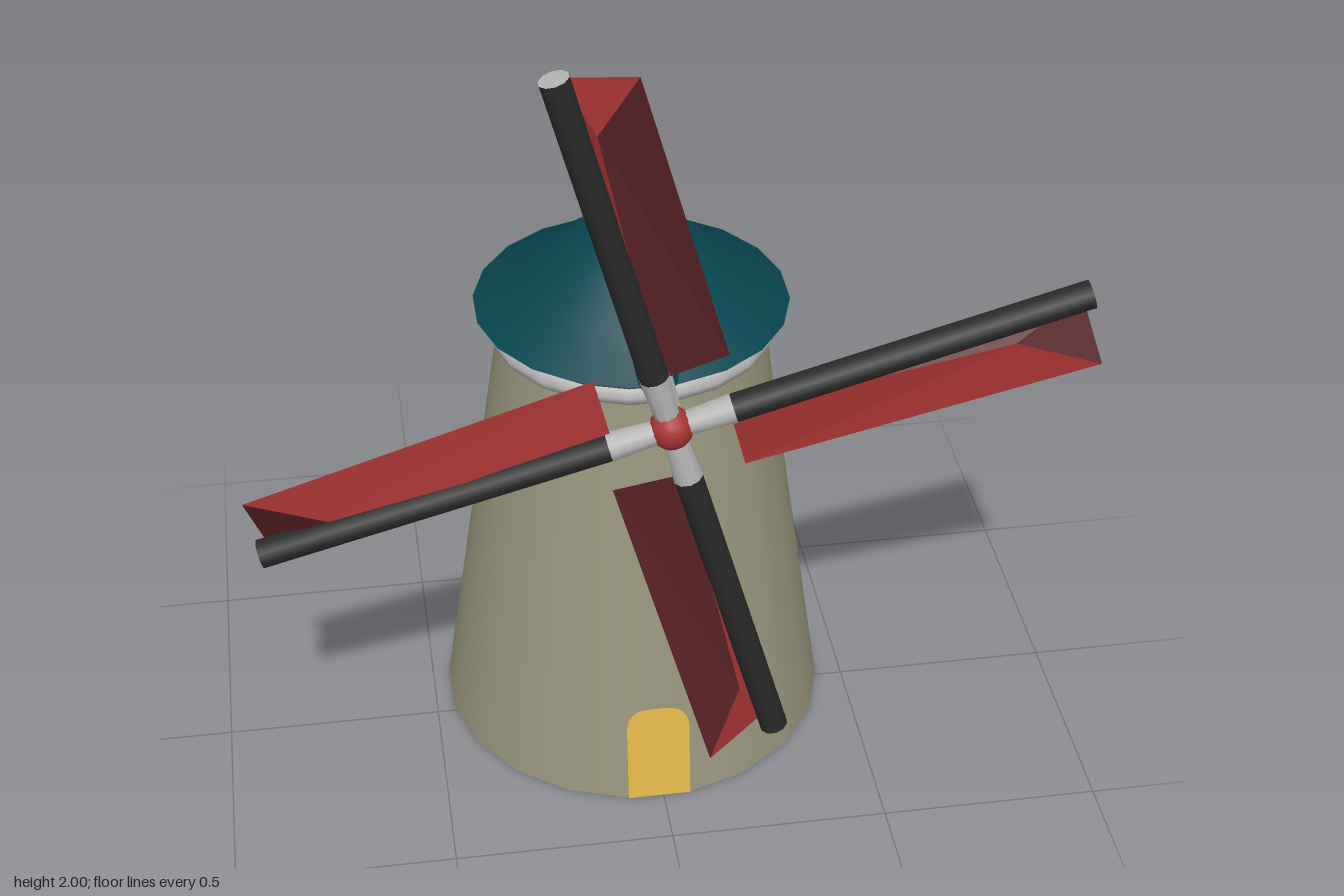
import * as THREE from 'three';

const mat = (name, color) => {
  const m = new THREE.MeshStandardMaterial({ color });
  m.name = name;
  return m;
};

export function createModel() {
  const stone = mat('stone', 0x98957c);
  const teal = mat('teal roof', 0x07454f);
  const white = mat('white paint', 0xb4b4b4);
  const grey = mat('grey cornice', 0x747474);
  const dark = mat('dark wood', 0x292929);
  const red = mat('red paint', 0xa83434);
  const darkRed = mat('dark red cloth', 0x562023);
  const yellow = mat('yellow door', 0xe2b64a);

  const model = new THREE.Group();
  model.name = 'windmill';
  const add = (parent, name, geometry, material, x = 0, y = 0, z = 0) => {
    const mesh = new THREE.Mesh(geometry, material);
    mesh.name = name;
    mesh.position.set(x, y, z);
    parent.add(mesh);
    return mesh;
  };

  // Tower body and cap share one vertical axis and 20 sides
  const building = new THREE.Group();
  building.name = 'building';
  building.position.set(-0.01, 0, -0.087);
  model.add(building);
  const SIDES = 20, HALF = Math.PI / SIDES;
  const lathe = (name, points, material) => add(building, name,
    new THREE.LatheGeometry(points.map(p => new THREE.Vector2(...p)), SIDES, HALF), material);

  const BOTTOM = 0.454, TOP = 0.302, HEIGHT = 1.045;
  add(building, 'tower', new THREE.CylinderGeometry(TOP, BOTTOM, HEIGHT, SIDES, 1, false, HALF),
    [stone, stone, white], 0, HEIGHT / 2, 0);
  lathe('trimRing', [[0.295, 1.032], [0.322, 1.036], [0.328, 1.055], [0.318, 1.072], [0.3, 1.076]], white);
  lathe('cornice', [[0.28, 1.07], [0.315, 1.073], [0.357, 1.106]], grey);
  lathe('cap', [[0.357, 1.106], [0.31, 1.135], [0.25, 1.174], [0.17, 1.238], [0.1, 1.281], [0.05, 1.298], [0, 1.305]], teal);

  // Door: thin arched plate leaning with the front wall
  const w = 0.073, h = 0.24, r = 0.055;
  const arch = new THREE.Shape();
  arch.moveTo(-w, 0);
  arch.lineTo(w, 0);
  arch.lineTo(w, h - r);
  arch.quadraticCurveTo(w, h, w - r, h);
  arch.lineTo(-w + r, h);
  arch.quadraticCurveTo(-w, h, -w, h - r);
  const door = add(building, 'door',
    new THREE.ExtrudeGeometry(arch, { depth: 0.005, bevelEnabled: false, curveSegments: 6 }),
    yellow, 0, 0, BOTTOM * Math.cos(HALF) - 0.002);
  door.rotation.x = -Math.atan((BOTTOM - TOP) * Math.cos(HALF) / HEIGHT);

  // Shaft housing and shaft, pointing forward
  const HUB = new THREE.Vector3(-0.007, 1.145, 0.474);
  const along = (name, radius, z0, z1, material, sides) => {
    const m = add(model, name, new THREE.CylinderGeometry(radius, radius, z1 - z0, sides), material,
      HUB.x, 1.148, (z0 + z1) / 2);
    m.rotation.x = Math.PI / 2;
  };
  along('shaftHousing', 0.044, 0, 0.3, teal, 14);
  along('shaft', 0.031, 0.28, 0.46, white, 12);

  // Rotor with four arms and twisted sails
  const rotor = new THREE.Group();
  rotor.name = 'rotor';
  rotor.position.copy(HUB);
  model.add(rotor);
  add(rotor, 'hub', new THREE.SphereGeometry(0.047, 14, 10), red);

  // One side of a sail: two outer facets, then two inner ones, meeting at a raised point
  const sailSide = (corners, peak, isBack) => {
    const facets = corners.flatMap((c, i) => {
      const next = corners[(i + 1) % 4];
      return isBack ? [...next, ...c, ...peak] : [...c, ...next, ...peak];
    });
    const geometry = new THREE.BufferGeometry();
    geometry.setAttribute('position', new THREE.Float32BufferAttribute(facets, 3));
    geometry.computeVertexNormals();
    geometry.addGroup(0, 6, 0);
    geometry.addGroup(6, 6, 1);
    return geometry;
  };

  // angle in degrees, arm length, forward twist of the sail tip, front colours (outer, inner)
  const arms = [
    [15.8, 0.907, 0.032, [red, darkRed]],
    [105.4, 0.863, 0.063, [darkRed, red]],
    [195.1, 0.893, 0.032, [red, darkRed]],
    [285.7, 0.885, 0.063, [darkRed, red]],
  ];
  for (const [angle, length, twist, frontColours] of arms) {
    const arm = new THREE.Group();
    arm.name = 'arm';
    arm.rotation.z = THREE.MathUtils.degToRad(angle);
    rotor.add(arm);

    const root = add(arm, 'armRoot', new THREE.CylinderGeometry(0.033, 0.025, 0.13, 10), white, 0.07, 0, 0);
    root.rotation.z = -Math.PI / 2;
    const rod = add(arm, 'armRod', new THREE.CylinderGeometry(0.032, 0.032, length - 0.13, 10),
      [dark, white, white], (length + 0.13) / 2, 0, 0);
    rod.rotation.z = -Math.PI / 2;

    const tip = length - 0.016;
    const corners = [[0.125, -0.012, 0], [0.122, -0.16, -0.015], [tip, -0.157, twist], [tip, -0.012, -0.028]];
    const peak = [0.73, -0.045, 0.024];
    add(arm, 'sailFront', sailSide(corners, peak, false), frontColours);
    add(arm, 'sailBack', sailSide(corners, peak, true), [red, darkRed], 0, 0, -0.003);
  }
  return model;
}
